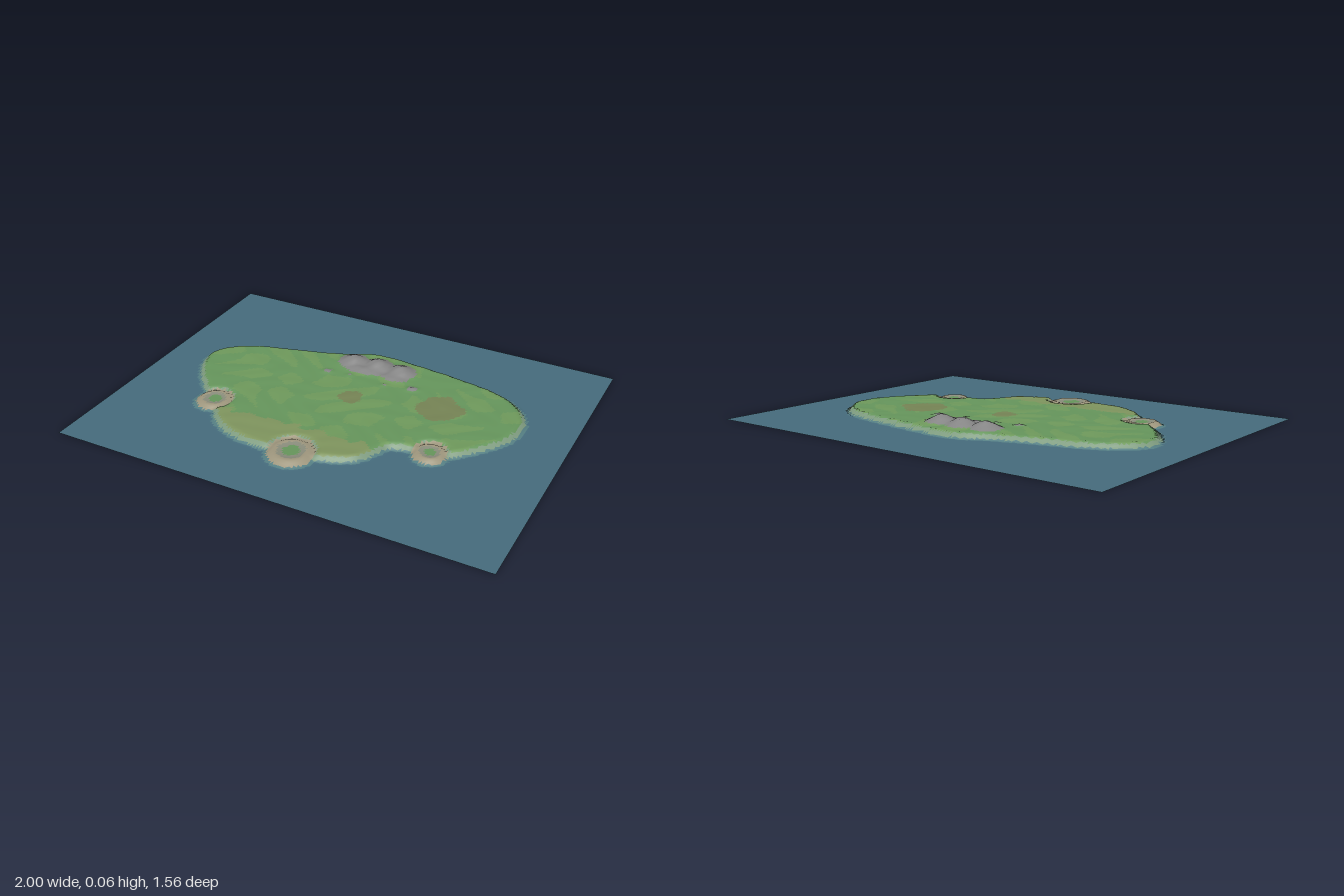
import * as THREE from 'three';

const W = 2, D = 1.56, NX = 140, NZ = 128;
const PLATEAU = 0.026;

// Coastline, clockwise from the back (x, z)
const COAST = [
  [0, -0.45], [0.17, -0.435], [0.4, -0.405], [0.58, -0.365], [0.7, -0.29], [0.76, -0.18],
  [0.74, -0.04], [0.66, 0.08], [0.56, 0.18], [0.47, 0.21], [0.38, 0.21], [0.31, 0.235],
  [0.28, 0.3], [0.23, 0.38], [0.12, 0.435], [0, 0.455], [-0.15, 0.47], [-0.3, 0.455],
  [-0.42, 0.4], [-0.52, 0.29], [-0.62, 0.19], [-0.72, 0.08], [-0.78, -0.03],
  [-0.785, -0.12], [-0.72, -0.2], [-0.6, -0.265], [-0.4, -0.32], [-0.2, -0.385], [-0.1, -0.435],
];
// Round earthworks on the front shore: x, z, outer radius
const RINGS = [[-0.545, 0.25, 0.1], [-0.03, 0.455, 0.125], [0.49, 0.2, 0.09]];
// Rocky peaks and small outcrops: x, z, radius x, radius z, height
const ROCKS = [
  [-0.13, -0.32, 0.075, 0.07, 0.034], [-0.01, -0.33, 0.075, 0.07, 0.036],
  [0.11, -0.325, 0.075, 0.07, 0.035], [-0.06, -0.27, 0.13, 0.045, 0.016],
  [0.1, -0.265, 0.09, 0.04, 0.012],
  [-0.2, -0.185, 0.03, 0.025, 0.009], [0.22, -0.215, 0.035, 0.025, 0.011],
  [-0.09, -0.2, 0.022, 0.02, 0.006], [0.09, -0.19, 0.02, 0.02, 0.006],
];
// Bare earth patches: x, z, radius
const EARTH = [[0.4, -0.12, 0.1], [0, -0.03, 0.05]];

const COLORS = {
  sea: 0x466c7d, shallows: 0x557f83, shore: 0x7f9c80, grass: 0x66965c, meadow: 0x6f9a5c,
  dryGrass: 0x7f955e, earth: 0x768455, sand: 0x9f977e, stoneRing: 0x8a8d7c, rock: 0x858585,
};

const smooth = THREE.MathUtils.smoothstep;
const coast = new THREE.CatmullRomCurve3(
  COAST.map(([x, z]) => new THREE.Vector3(x, 0, z)), true).getPoints(150);

// Signed distance to the coastline, positive on land
function inland(x, z) {
  let best = Infinity, inside = false;
  for (let i = 1; i < coast.length; i++) {
    const a = coast[i - 1], b = coast[i];
    const dx = b.x - a.x, dz = b.z - a.z;
    const t = THREE.MathUtils.clamp(
      ((x - a.x) * dx + (z - a.z) * dz) / (dx * dx + dz * dz || 1), 0, 1);
    best = Math.min(best, Math.hypot(x - a.x - dx * t, z - a.z - dz * t));
    if ((a.z > z) !== (b.z > z) && x < a.x + dx * (z - a.z) / dz) inside = !inside;
  }
  return inside ? best : -best;
}

// Gentle surface ripple
const ripple = (x, z) =>
  Math.sin(x * 31 + 2 * Math.sin(z * 17)) * Math.sin(z * 37 + 2 * Math.sin(x * 13));

// Height of the rocks above the plateau
function rockHeight(x, z) {
  let h = 0;
  for (const [cx, cz, rx, rz, top] of ROCKS) {
    const d = Math.hypot((x - cx) / rx, (z - cz) / rz);
    h = Math.max(h, top * (1 - smooth(d, 0, 1.3)));
  }
  return h * (1 + 0.08 * Math.sin(x * 120) * Math.sin(z * 110));
}

// Nearest earthwork as a fraction of its radius
function ringAt(x, z) {
  return Math.min(...RINGS.map(([cx, cz, r]) => Math.hypot(x - cx, z - cz) / r));
}

function height(x, z) {
  const land = smooth(inland(x, z), -0.022, 0.012);
  let h = land * (PLATEAU + 0.0012 * ripple(x, z)) + rockHeight(x, z) * land;
  const q = ringAt(x, z);
  if (q < 1) {
    // low dish in the middle, raised rim, slope to the water
    const rim = 0.016 + 0.005 * Math.exp(-(((q - 0.6) / 0.15) ** 2));
    const mound = rim * (1 - smooth(q, 0.6, 1));
    h = THREE.MathUtils.lerp(h, Math.max(mound, h * smooth(q, 0.6, 1)), 1 - smooth(q, 0.8, 1));
  }
  return h;
}

// Which part of the terrain a point belongs to
function region(x, y, z) {
  const q = ringAt(x, z);
  if (q < 0.3) return 'grass';
  if (q < 0.5) return 'stoneRing';
  if (q < 0.84) return 'sand';
  if (y < 0.0004) return 'sea';
  if (y < 0.006) return 'shallows';
  if (rockHeight(x, z) > 0.0045) return 'rock';
  if (y < 0.021) return 'shore';
  for (const [cx, cz, r] of EARTH) {
    if (Math.hypot(x - cx, z - cz) < r * (1 + 0.15 * ripple(x, z))) return 'earth';
  }
  if (z + 0.03 * ripple(x, z) > 0.3) return 'dryGrass';
  return ripple(x * 0.7, z * 0.7) > 0.1 ? 'meadow' : 'grass';
}

export function createModel() {
  const group = new THREE.Group();
  group.name = 'islandTerrain';

  // Raise a flat grid by the height rule
  const ground = new THREE.PlaneGeometry(W, D, NX, NZ).rotateX(-Math.PI / 2);
  const pos = ground.attributes.position;
  for (let i = 0; i < pos.count; i++) {
    pos.setY(i, height(pos.getX(i), pos.getZ(i)));
  }
  ground.computeVertexNormals();

  // Sort the triangles by region, keeping the shared smooth normals
  const faces = {};
  const idx = ground.index.array;
  for (let i = 0; i < idx.length; i += 3) {
    const tri = [idx[i], idx[i + 1], idx[i + 2]];
    const mean = (get) => tri.reduce((s, v) => s + pos[get](v), 0) / 3;
    const name = region(mean('getX'), mean('getY'), mean('getZ'));
    (faces[name] ??= []).push(...tri);
  }

  // One mesh for each kind of ground
  for (const [name, list] of Object.entries(faces)) {
    const part = ground.clone();
    part.setIndex(list);
    const mesh = new THREE.Mesh(part.toNonIndexed(), new THREE.MeshStandardMaterial({
      color: COLORS[name], side: THREE.DoubleSide,
    }));
    mesh.name = name;
    group.add(mesh);
  }
  return group;
}
